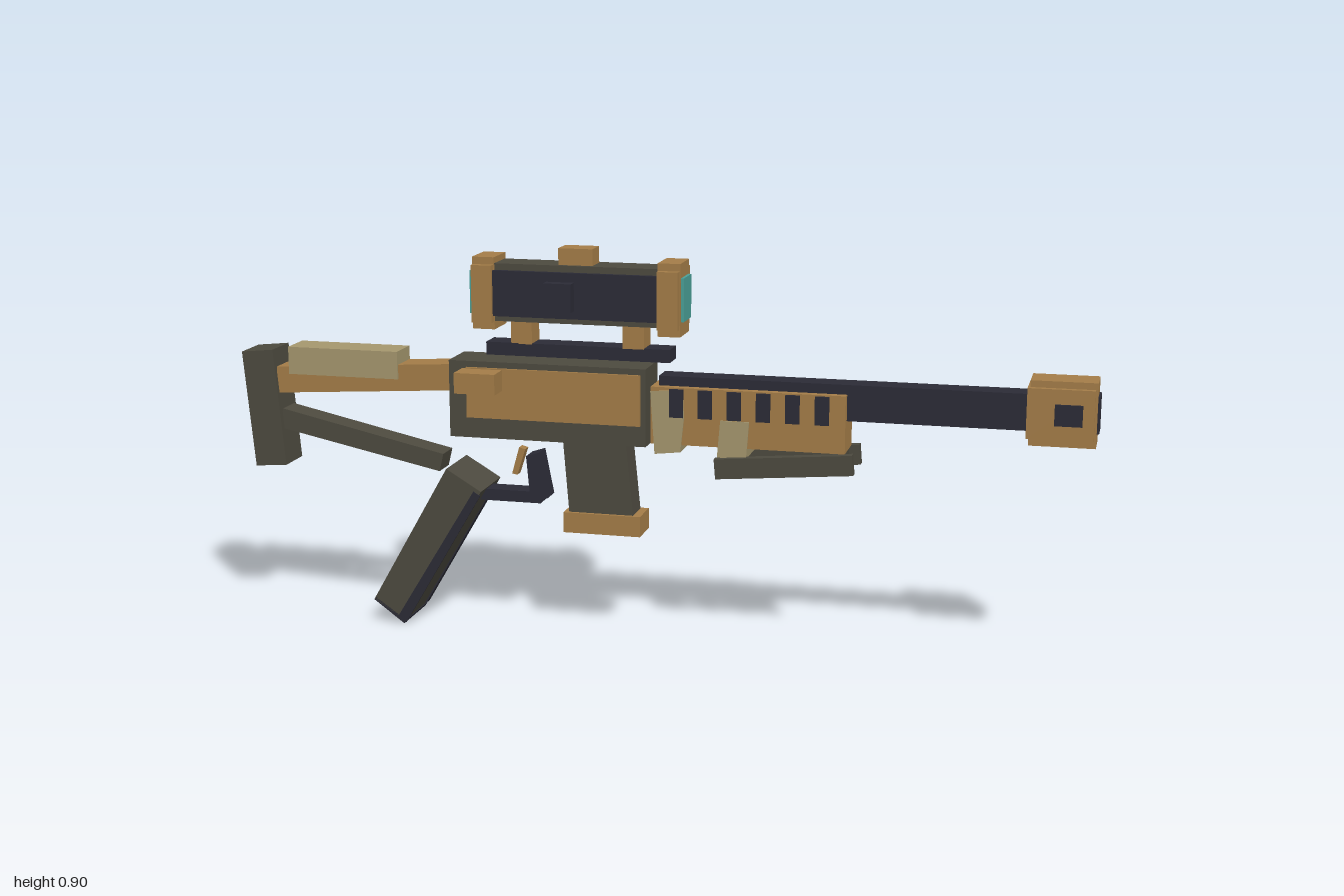
import * as THREE from 'three';

const mat = (name, color) => Object.assign(new THREE.MeshStandardMaterial({ color }), { name });

export function createModel() {
  const brown = mat('bronze', 0xa47d48);
  const olive = mat('dark olive', 0x4d4a3f);
  const navy = mat('gunmetal', 0x2b2b36);
  const tan = mat('khaki', 0xa5976e);
  const teal = mat('lens teal', 0x4aa098);

  const root = new THREE.Group();
  root.name = 'blasterModel';
  // everything is laid out around the bore plane, which sits slightly off centre
  const model = new THREE.Group();
  model.name = 'body';
  model.position.z = -0.021;
  root.add(model);

  const add = (name, geometry, material) => {
    const mesh = new THREE.Mesh(geometry, material);
    mesh.name = name;
    model.add(mesh);
    return mesh;
  };
  // box from x/y limits and z limits (a single number means a half width)
  const box = (name, m, x0, x1, y0, y1, z0, z1) => {
    if (z1 === undefined) { z1 = z0; z0 = -z0; }
    const mesh = add(name, new THREE.BoxGeometry(x1 - x0, y1 - y0, z1 - z0), m);
    mesh.position.set((x0 + x1) / 2, (y0 + y1) / 2, (z0 + z1) / 2);
    return mesh;
  };
  // side outline extruded between two depths
  const slab = (name, m, pts, z0, z1) => {
    if (z1 === undefined) { z1 = z0; z0 = -z0; }
    const shape = new THREE.Shape(pts.map(p => new THREE.Vector2(...p)));
    const mesh = add(name, new THREE.ExtrudeGeometry(shape, { depth: z1 - z0, bevelEnabled: false }), m);
    mesh.position.z = z0;
    return mesh;
  };

  // barrel and muzzle
  box('barrel', navy, 0.015, 0.995, 0.54, 0.622, 0.029);
  box('muzzleWide', brown, 0.84, 0.985, 0.527, 0.64, 0.053);
  box('muzzleTall', brown, 0.845, 0.99, 0.51, 0.655, 0.04);
  box('muzzleVents', navy, 0.9, 0.96, 0.56, 0.607, 0.059);

  // handguard with dark slots and khaki grips
  box('handguard', brown, 0, 0.445, 0.468, 0.6, 0.048);
  for (let i = 0; i < 6; i++) {
    const x = 0.06 + i * 0.0665;
    box('handguardSlot', navy, x - 0.016, x + 0.016, 0.532, 0.597, 0.054);
  }
  slab('handguardRearGrip', tan, [[0.01, 0.445], [0.07, 0.452], [0.078, 0.53], [0.075, 0.595], [0, 0.59]], 0.0515);
  slab('handguardFrontGrip', tan, [[0.155, 0.445], [0.222, 0.445], [0.228, 0.53], [0.162, 0.53]], 0.0515);

  // folded legs on both sides
  for (const s of [-1, 1]) {
    const leg = box('foldedLeg', olive, 0.152, 0.466, 0.411, 0.457, s * 0.055 - 0.011, s * 0.055 + 0.011);
    leg.rotation.z = 0.085;
  }
  box('legBracket', olive, 0.4, 0.44, 0.43, 0.468, 0.044);

  // receiver
  box('receiver', olive, -0.478, -0.01, 0.46, 0.64, 0.055);
  box('receiverPanel', brown, -0.435, -0.022, 0.508, 0.626, 0.061);
  box('chargingHandle', brown, -0.445, -0.348, 0.575, 0.623, 0.05, 0.117);

  // magazine
  slab('magazine', olive, [[-0.198, 0.29], [-0.045, 0.29], [-0.062, 0.465], [-0.212, 0.465]], 0.034);
  box('magazineBase', brown, -0.21, -0.027, 0.243, 0.291, 0.042);

  // pistol grip
  slab('pistolGrip', olive, [[-0.672, 0.055], [-0.595, 0.008], [-0.4, 0.335], [-0.484, 0.385]], 0.073);
  slab('gripEdge', navy, [[-0.612, 0.018], [-0.592, 0.004], [-0.402, 0.325], [-0.418, 0.335]], 0.071, 0.0745);
  slab('gripFrontStrip', navy, [[-0.597, 0.014], [-0.587, 0.014], [-0.419, 0.3], [-0.429, 0.3]], -0.0735, -0.05);
  slab('gripSole', navy, [[-0.672, 0.054], [-0.598, 0], [-0.593, 0.008], [-0.667, 0.06]], 0.073);

  // trigger and guard
  box('triggerGuardBar', navy, -0.42, -0.27, 0.304, 0.331, 0.026);
  slab('triggerGuardPost', navy, [[-0.294, 0.304], [-0.252, 0.318], [-0.273, 0.425], [-0.304, 0.415]], 0.026);
  slab('trigger', brown, [[-0.343, 0.368], [-0.33, 0.366], [-0.31, 0.428], [-0.325, 0.432]], 0.012);

  // shoulder stock
  slab('buttPlate', olive, [[-0.973, 0.358], [-0.896, 0.364], [-0.92, 0.642], [-0.998, 0.634]], 0.047);
  slab('stockBar', brown, [[-0.915, 0.537], [-0.47, 0.565], [-0.47, 0.627], [-0.915, 0.6]], 0.036);
  box('cheekRest', tan, -0.882, -0.61, 0.585, 0.65, 0.042);
  slab('stockStrut', olive, [[-0.915, 0.452], [-0.515, 0.368], [-0.505, 0.41], [-0.905, 0.498]], 0.032);

  // sight rail and mounts
  box('sightRail', navy, -0.395, 0.04, 0.652, 0.682, 0.029);
  for (const x of [-0.31, -0.045]) box('sightMount', brown, x - 0.025, x + 0.025, 0.68, 0.74, 0.029);

  // sight body, end caps, lenses and dials
  box('sightCore', olive, -0.38, 0.03, 0.733, 0.866, 0.039);
  box('sightSides', navy, -0.38, 0.03, 0.746, 0.851, 0.05);
  for (const x of [-0.395, 0.041]) {
    box('sightCapWide', brown, x - 0.024, x + 0.024, 0.731, 0.863, 0.059);
    box('sightCapTall', brown, x - 0.026, x + 0.026, 0.714, 0.88, 0.043);
  }
  box('rearLens', teal, -0.43, -0.415, 0.748, 0.847, 0.036);
  box('frontLens', teal, 0.06, 0.074, 0.748, 0.847, 0.036);
  box('topDial', brown, -0.22, -0.14, 0.86, 0.904, 0.029);
  box('sideDial', navy, -0.243, -0.178, 0.765, 0.83, 0.04, 0.076);

  return root;
}
